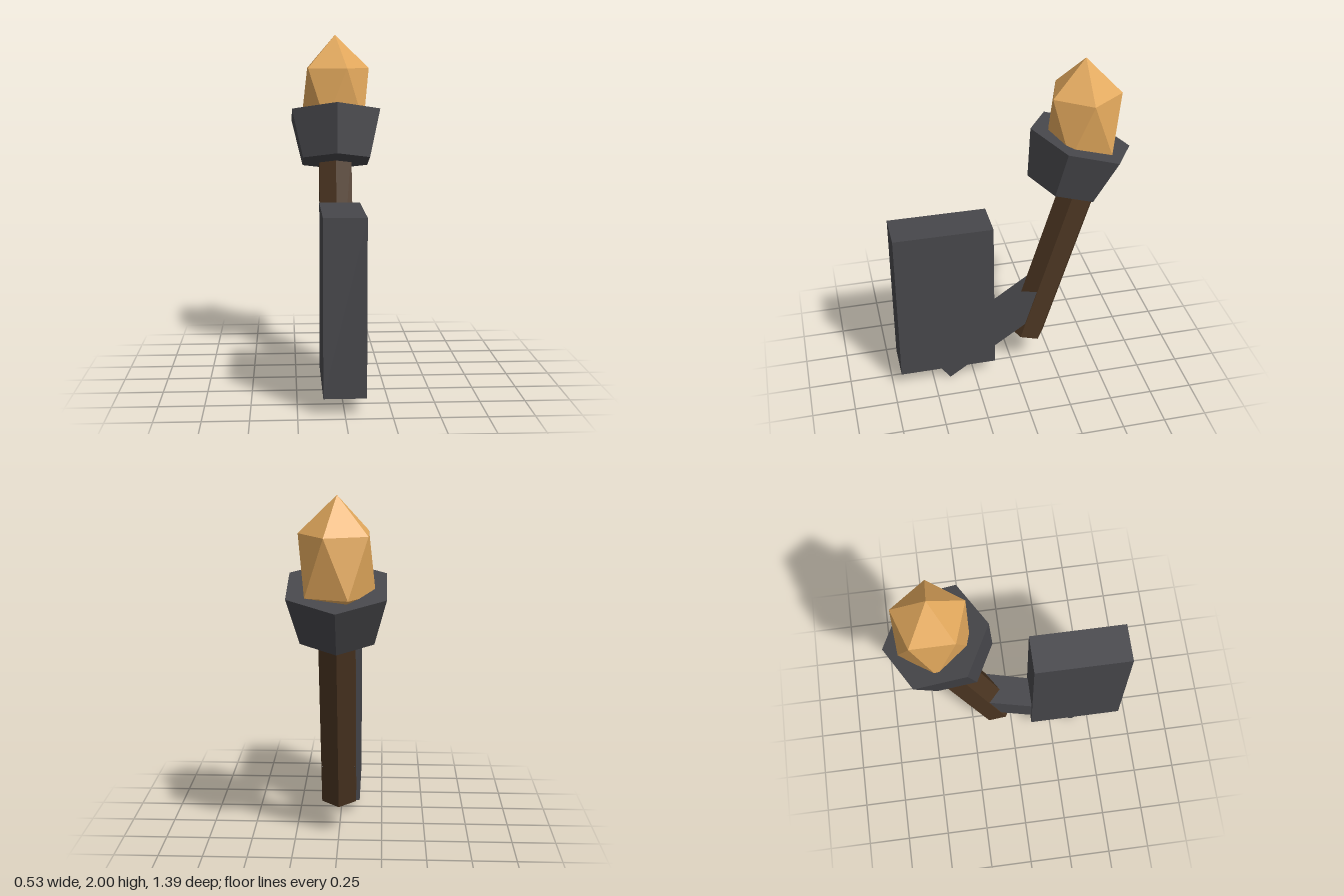
import * as THREE from 'three';
import { ConvexGeometry } from 'three/addons/geometries/ConvexGeometry.js';

function flat(name, color) {
  const material = new THREE.MeshStandardMaterial({ color, flatShading: true });
  material.name = name;
  return material;
}

// Stretched twelve-point crystal: two staggered five-sided rings and two tips
function flameGeometry(radius, height) {
  const points = [new THREE.Vector3(0, height, 0), new THREE.Vector3(0, -height, 0)];
  const ringY = height / Math.sqrt(5);
  for (let i = 0; i < 5; i++) {
    const a = (i * Math.PI * 2) / 5;
    const b = a + Math.PI / 5;
    points.push(new THREE.Vector3(Math.cos(a) * radius, ringY, Math.sin(a) * radius));
    points.push(new THREE.Vector3(Math.cos(b) * radius, -ringY, Math.sin(b) * radius));
  }
  return new ConvexGeometry(points);
}

export function createModel() {
  const model = new THREE.Group();
  model.name = 'wallTorch';
  const iron = flat('darkIron', 0x47474b);
  const wood = flat('darkWood', 0x4c3622);
  const fire = flat('flameOrange', 0xe2a85c);

  function add(name, geometry, material, y, z, tilt = 0) {
    const mesh = new THREE.Mesh(geometry, material);
    mesh.name = name;
    mesh.position.set(0, y, z);
    mesh.rotation.x = tilt;
    model.add(mesh);
  }

  const lean = -0.3;

  // Mounting block and the arm running through it to the handle
  add('mountingBlock', new THREE.BoxGeometry(0.23, 0.96, 0.575), iron, 0.573, 0.412);
  add('bracketArm', new THREE.BoxGeometry(0.19, 0.147, 0.768), iron, 0.28, 0.127, 0.61);

  // Leaning six-sided handle and flared cup, set slightly forward of the handle
  add('handle', new THREE.CylinderGeometry(0.113, 0.113, 1.15, 6), wood, 0.765, -0.265, lean);
  add('cup', new THREE.CylinderGeometry(0.304, 0.23, 0.288, 6), iron, 1.382, -0.36, lean);

  // Upright flame
  add('flame', flameGeometry(0.205, 0.36), fire, 1.64, -0.415);

  return model;
}
